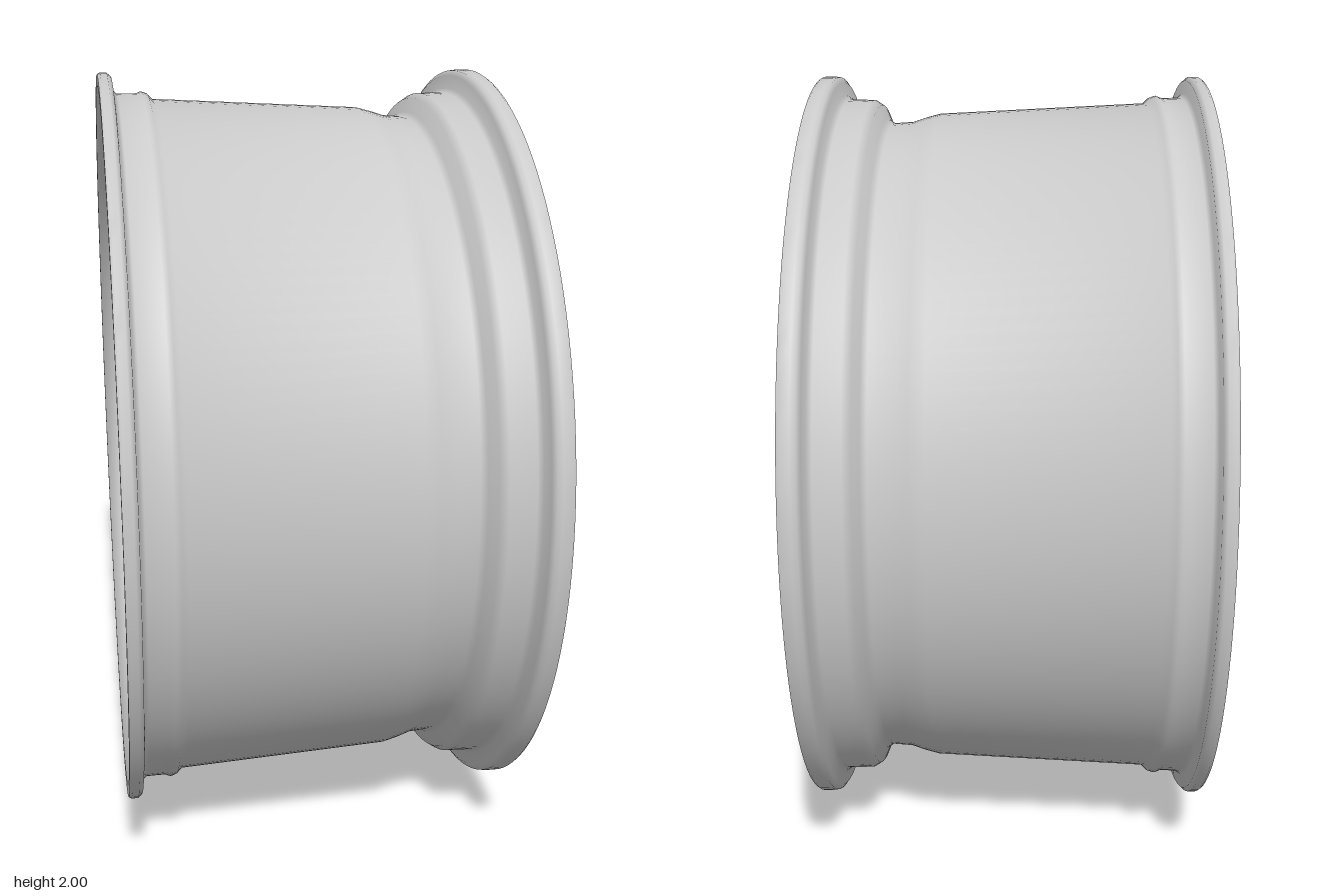
import * as THREE from 'three';
import { toCreasedNormals } from 'three/addons/utils/BufferGeometryUtils.js';

const material = new THREE.MeshStandardMaterial({ color: 0xcccccc });
const STEP = Math.PI * 2 / 5;
const BOLT_CIRCLE = 0.205;

function addMesh(parent, name, geometry) {
  const mesh = new THREE.Mesh(geometry, material);
  mesh.name = name;
  parent.add(mesh);
  return mesh;
}

// Surface of revolution about the wheel axis (z); profile points are [radius, z]
function turned(profile, segments = 96) {
  const points = profile.map(([r, z]) => new THREE.Vector2(r, z));
  return toCreasedNormals(new THREE.LatheGeometry(points, segments).rotateX(Math.PI / 2), 0.9);
}

// Bevelled plate between two depths
function plate(shape, back, front, bevel) {
  const geometry = new THREE.ExtrudeGeometry(shape, {
    depth: front - back - 2 * bevel, bevelSize: bevel, bevelThickness: bevel, bevelSegments: 2, curveSegments: 32,
  });
  return toCreasedNormals(geometry.translate(0, 0, back + bevel), 0.5);
}

// Chamfered bar lofted through stations [leftX, leftY, rightX, rightY, front, back]
function bar(stations, side = 1, flare = 0.01, chamfer = 0.012) {
  const left = new THREE.CatmullRomCurve3(stations.map(s => new THREE.Vector3(s[0], s[1], s[4])));
  const right = new THREE.CatmullRomCurve3(stations.map(s => new THREE.Vector3(s[2], s[3], s[5])));
  const rings = (stations.length - 1) * 5;
  const position = [], index = [];
  for (let i = 0; i <= rings; i++) {
    const l = left.getPoint(i / rings), r = right.getPoint(i / rings);
    const front = l.z, back = r.z;
    const across = new THREE.Vector2(r.x - l.x, r.y - l.y);
    const f = flare / across.length(), c = chamfer * 0.7 / across.length();
    const section = [[-f, back], [0, front - chamfer], [c, front], [1 - c, front], [1, front - chamfer], [1 + f, back]];
    if (side < 0) section.reverse();
    for (const [t, z] of section) position.push(side * (l.x + across.x * t), l.y + across.y * t, z);
  }
  for (let i = 0; i < rings; i++) {
    for (let k = 0; k < 6; k++) {
      const a = i * 6 + k, b = i * 6 + (k + 1) % 6;
      index.push(a, b, b + 6, a, b + 6, a + 6);
    }
  }
  // End caps
  const last = rings * 6;
  for (let k = 1; k < 5; k++) index.push(0, k + 1, k, last, last + k, last + k + 1);
  const geometry = new THREE.BufferGeometry();
  geometry.setAttribute('position', new THREE.Float32BufferAttribute(position, 3));
  geometry.setIndex(index);
  return toCreasedNormals(geometry, 0.5);
}

// Mounting pad outline: disc with centre bore and five bolt holes
function padShape() {
  const shape = new THREE.Shape().absarc(0, 0, 0.28, 0, Math.PI * 2);
  const hole = (x, y, r) => shape.holes.push(new THREE.Path().absarc(x, y, r, 0, Math.PI * 2, true));
  hole(0, 0, 0.124);
  for (let k = 0; k < 5; k++) {
    const a = Math.PI / 2 + k * STEP;
    hole(BOLT_CIRCLE * Math.cos(a), BOLT_CIRCLE * Math.sin(a), 0.05);
  }
  return shape;
}

// Hub face outline: five bolt pockets open to the outside, scalloped edge between them
function hubShape() {
  const points = [], rad = Math.PI / 180;
  for (let k = 0; k < 5; k++) {
    const add = (x, y) => points.push(new THREE.Vector2(x, y).rotateAround(new THREE.Vector2(), k * STEP));
    for (let i = 0; i <= 16; i++) {
      const a = (50 - i * 17.5) * rad;
      add(0.061 * Math.cos(a), BOLT_CIRCLE + 0.061 * Math.sin(a));
    }
    for (let i = 0; i <= 10; i++) {
      const a = (98 + i * 5.6) * rad;
      const r = 0.253 + 0.018 * Math.cos(5 * (a - Math.PI / 2));
      add(r * Math.cos(a), r * Math.sin(a));
    }
  }
  return new THREE.Shape(points);
}

export function createModel() {
  const model = new THREE.Group();
  model.name = 'wheel';
  const wheel = new THREE.Group();
  wheel.name = 'wheelAssembly';
  wheel.rotation.y = Math.PI / 2; // wheel face looks along +x
  wheel.position.y = 1;
  model.add(wheel);

  // Rim barrel: outer side back to front, then inner side front to back
  addMesh(wheel, 'rimBarrel', turned([
    [0.965, -0.51], [0.995, -0.51], [1, -0.503], [1, -0.485], [0.99, -0.474], [0.955, -0.47], [0.945, -0.46],
    [0.944, -0.41], [0.95, -0.395], [0.945, -0.38], [0.93, -0.365], [0.902, 0.19], [0.893, 0.225],
    [0.88, 0.265], [0.876, 0.32], [0.887, 0.335], [0.925, 0.35], [0.938, 0.37], [0.94, 0.435],
    [0.95, 0.447], [0.985, 0.453], [0.998, 0.462], [1, 0.475], [1, 0.5], [0.996, 0.506],
    [0.98, 0.506], [0.97, 0.495], [0.955, 0.465], [0.925, 0.45], [0.905, 0.43], [0.895, 0.37],
    [0.845, 0.335], [0.84, 0.27], [0.87, 0.19], [0.9, -0.365], [0.915, -0.42], [0.93, -0.47], [0.965, -0.51],
  ], 128));

  // Hub: mounting pad at the back, face with open bolt pockets, and cap
  addMesh(wheel, 'mountingPad', plate(padShape(), 0.13, 0.25, 0.014));
  addMesh(wheel, 'hubFace', plate(hubShape(), 0.235, 0.364, 0.006));
  addMesh(wheel, 'centreCap', turned([
    [0.118, 0.33], [0.118, 0.37], [0.112, 0.378], [0.08, 0.385], [0.04, 0.389], [0, 0.39],
  ], 48));

  // Right-hand halves of a twin spoke, listed from hub to rim
  const mainStations = [
    [0.055, 0.235, 0.118, 0.2, 0.365, 0.21],
    [0.032, 0.32, 0.115, 0.31, 0.373, 0.235],
    [0.032, 0.5, 0.115, 0.5, 0.395, 0.28],
    [0.034, 0.65, 0.12, 0.65, 0.425, 0.315],
    [0.06, 0.735, 0.15, 0.715, 0.445, 0.335],
    [0.105, 0.835, 0.235, 0.8, 0.465, 0.37],
    [0.13, 0.89, 0.295, 0.86, 0.482, 0.425],
    [0.152, 0.97, 0.326, 0.928, 0.502, 0.475],
  ];
  const branchStations = [
    [0.08, 0.24, 0.165, 0.23, 0.34, 0.18],
    [0.125, 0.37, 0.192, 0.355, 0.355, 0.22],
    [0.178, 0.46, 0.238, 0.445, 0.38, 0.265],
    [0.22, 0.54, 0.276, 0.53, 0.405, 0.3],
    [0.235, 0.66, 0.287, 0.66, 0.435, 0.335],
    [0.242, 0.77, 0.297, 0.775, 0.46, 0.37],
    [0.235, 0.855, 0.31, 0.86, 0.481, 0.42],
    [0.25, 0.94, 0.325, 0.922, 0.499, 0.475],
  ];
  const spokeParts = [];
  for (const [prefix, side] of [['right', 1], ['left', -1]]) {
    spokeParts.push([prefix + 'MainSpoke', bar(mainStations, side)]);
    spokeParts.push([prefix + 'BranchSpoke', bar(branchStations, side)]);
  }
  // Low web joining the pair just outside the bolt
  spokeParts.push(['spokeWeb', bar([
    [-0.045, 0.25, 0.045, 0.25, 0.3, 0.16], [-0.045, 0.3, 0.045, 0.3, 0.29, 0.18], [-0.045, 0.36, 0.045, 0.36, 0.26, 0.22],
  ])]);

  // Recessed wheel bolt with collar and domed head
  const bolt = turned([
    [0.03, 0.18], [0.047, 0.23], [0.047, 0.305], [0.043, 0.312], [0.038, 0.312], [0.037, 0.335],
    [0.031, 0.344], [0.015, 0.349], [0, 0.35],
  ], 24).translate(0, BOLT_CIRCLE, 0);

  for (let k = 0; k < 5; k++) {
    const unit = new THREE.Group();
    unit.name = 'twinSpoke' + (k + 1);
    unit.rotation.z = k * STEP;
    for (const [name, geometry] of spokeParts) addMesh(unit, name, geometry);
    addMesh(unit, 'wheelBolt', bolt);
    wheel.add(unit);
  }
  return model;
}
